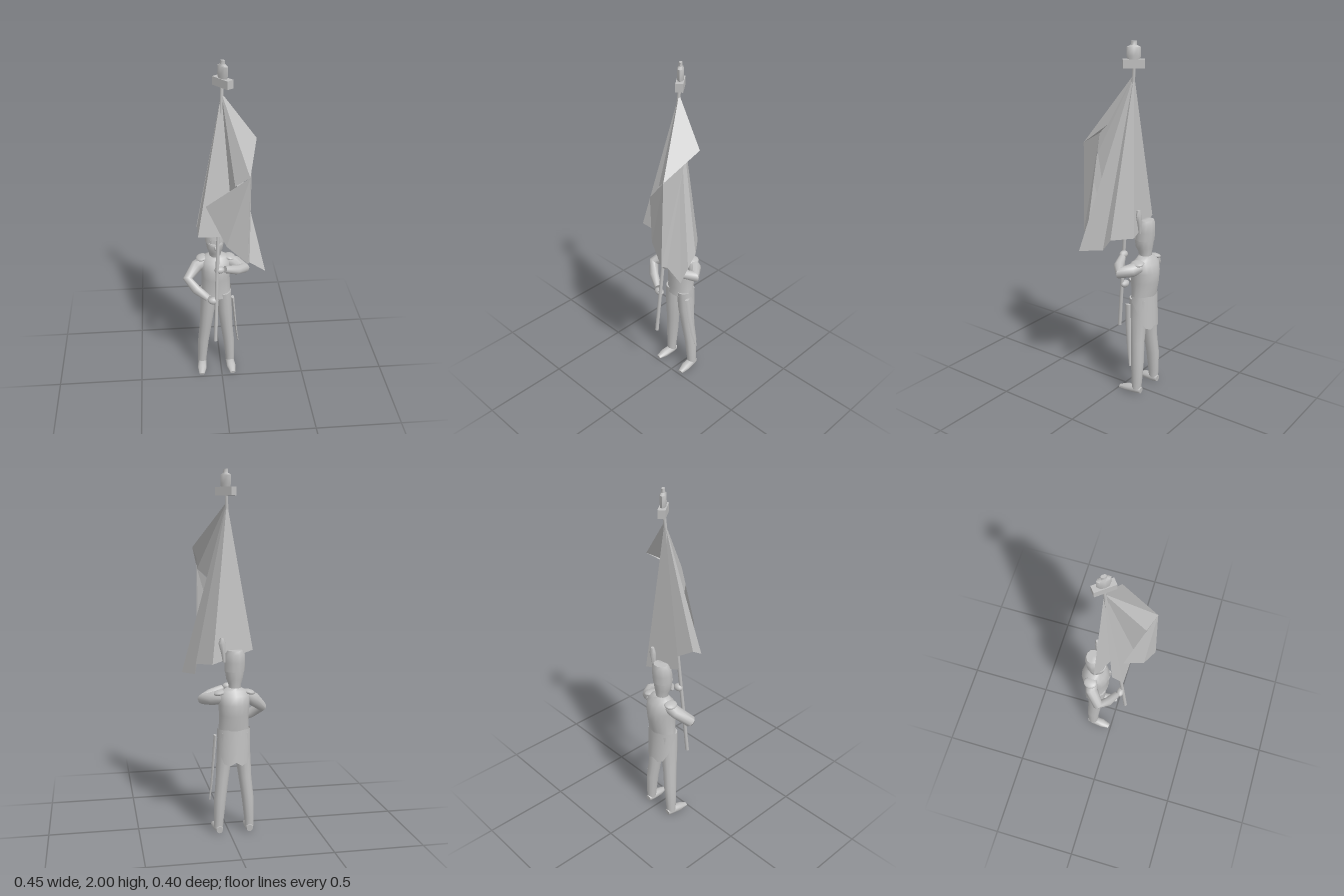
import * as THREE from 'three';
import { toCreasedNormals } from 'three/addons/utils/BufferGeometryUtils.js';

const grey = new THREE.MeshStandardMaterial({ color: 0xbfbfbf, side: THREE.DoubleSide });
grey.name = 'plain grey';

// Closed skin through elliptical rings [x, y, z, ru, rv]; level rings lie flat, others face along the path.
function loft(rings, level = true, sides = 12) {
  const pos = [], idx = [], up = new THREE.Vector3(0, 1, 0);
  const pts = rings.map(r => new THREE.Vector3(r[0], r[1], r[2]));
  rings.forEach((r, i) => {
    let u = new THREE.Vector3(1, 0, 0), v = new THREE.Vector3(0, 0, 1);
    if (!level) {
      const t = pts[Math.min(i + 1, pts.length - 1)].clone().sub(pts[Math.max(i - 1, 0)]).normalize();
      u = t.clone().cross(up).normalize();
      v = u.clone().cross(t);
    }
    for (let k = 0; k < sides; k++) {
      const a = k / sides * Math.PI * 2;
      const p = pts[i].clone().addScaledVector(u, r[3] * Math.cos(a)).addScaledVector(v, r[4] * Math.sin(a));
      pos.push(p.x, p.y, p.z);
    }
  });
  const n = rings.length, first = n * sides, last = first + 1;
  pos.push(...pts[0].toArray(), ...pts[n - 1].toArray());
  for (let k = 0; k < sides; k++) {
    const j = (k + 1) % sides;
    for (let i = 0; i < n - 1; i++) {
      const a = i * sides + k, b = i * sides + j;
      idx.push(a, a + sides, b, b, a + sides, b + sides);
    }
    idx.push(first, k, j, last, (n - 1) * sides + j, (n - 1) * sides + k);
  }
  const g = new THREE.BufferGeometry();
  g.setAttribute('position', new THREE.Float32BufferAttribute(pos, 3));
  g.setIndex(idx);
  return toCreasedNormals(g, 0.9);
}

// Flat-shaded sheet from named corners and faces written as corner lists
function sheet(corners, faces) {
  const pos = [];
  for (const f of faces) {
    const c = f.split(' ');
    for (let i = 1; i < c.length - 1; i++) pos.push(...corners[c[0]], ...corners[c[i]], ...corners[c[i + 1]]);
  }
  const g = new THREE.BufferGeometry();
  g.setAttribute('position', new THREE.Float32BufferAttribute(pos, 3));
  g.computeVertexNormals();
  return g;
}

export function createModel() {
  const model = new THREE.Group();
  const add = (name, geo, parent = model) => {
    const m = new THREE.Mesh(geo, grey);
    m.name = name;
    parent.add(m);
    return m;
  };
  const ball = (name, x, y, z, sx, sy, sz) => {
    const m = add(name, new THREE.SphereGeometry(1, 12, 8));
    m.position.set(x, y, z);
    m.scale.set(sx, sy, sz);
    return m;
  };

  // Legs and feet, mirrored about the body's middle
  const mid = -0.029;
  for (const s of [-1, 1]) {
    const side = s < 0 ? 'right' : 'left';
    const x = f => mid + s * f;
    add(side + 'Leg', loft([
      [x(0.088), 0.03, -0.122, 0.026, 0.028],
      [x(0.086), 0.08, -0.122, 0.028, 0.032],
      [x(0.078), 0.2, -0.12, 0.034, 0.039],
      [x(0.064), 0.32, -0.11, 0.037, 0.042],
      [x(0.052), 0.45, -0.104, 0.044, 0.052],
      [x(0.044), 0.58, -0.105, 0.046, 0.06]]));
    add(side + 'Foot', loft([
      [x(0.086), 0.022, -0.152, 0.018, 0.02],
      [x(0.087), 0.026, -0.12, 0.026, 0.026],
      [x(0.092), 0.02, -0.06, 0.028, 0.02],
      [x(0.097), 0.011, -0.012, 0.016, 0.01]], false));
    const epaulette = ball(side + 'Epaulette', x(0.083), 0.803, -0.12, 0.034, 0.014, 0.04);
    epaulette.rotation.z = -s * 0.2;
  }

  // Coat, with a skirt that slopes down to the back
  add('torso', loft([
    [mid, 0.55, -0.106, 0.091, 0.064],
    [mid, 0.6, -0.11, 0.085, 0.066],
    [mid, 0.68, -0.115, 0.083, 0.078],
    [mid, 0.74, -0.115, 0.088, 0.082],
    [mid, 0.79, -0.118, 0.09, 0.066],
    [mid, 0.815, -0.118, 0.07, 0.045],
    [mid, 0.83, -0.115, 0.036, 0.036]], true, 16));
  const hem = [0.42, 0.4, 0.41, 0.46, 0.53, 0.565];
  const skirt = new THREE.PlaneGeometry(1, 1, hem.length * 2 - 2, 1), sp = skirt.attributes.position;
  for (let i = 0; i < sp.count; i++) {
    const k = Math.round(sp.getX(i) * (hem.length * 2 - 2)), a = k * 0.37, low = sp.getY(i) < 0;
    sp.setXYZ(i, mid - Math.sin(a) * 0.093, low ? hem[Math.abs(k)] : 0.6,
      -0.108 - Math.cos(a) * (low ? 0.079 : 0.067));
  }
  skirt.computeVertexNormals();
  add('coatSkirt', skirt);

  // Head, cap and plume
  add('head', loft([
    [-0.033, 0.81, -0.114, 0.034, 0.034],
    [-0.034, 0.85, -0.11, 0.036, 0.04],
    [-0.034, 0.875, -0.104, 0.046, 0.05],
    [-0.034, 0.91, -0.105, 0.052, 0.053],
    [-0.034, 0.95, -0.107, 0.053, 0.053]]));
  ball('nose', -0.034, 0.9, -0.052, 0.008, 0.014, 0.01);
  add('cap', loft([
    [-0.034, 0.92, -0.108, 0.056, 0.055],
    [-0.034, 0.97, -0.111, 0.058, 0.056],
    [-0.034, 1.015, -0.116, 0.055, 0.051],
    [-0.034, 1.037, -0.122, 0.042, 0.037]], true, 10));
  const visor = add('capVisor', new THREE.CylinderGeometry(0.042, 0.046, 0.008, 12));
  visor.position.set(-0.034, 0.93, -0.088);
  visor.rotation.x = 0.25;
  add('plume', loft([
    [0.025, 0.97, -0.115, 0.008, 0.008],
    [0.03, 1.02, -0.115, 0.012, 0.012],
    [0.037, 1.075, -0.115, 0.02, 0.016],
    [0.038, 1.105, -0.115, 0.01, 0.01]], true, 8));

  // Arms: right hand low on the pole, left hand high
  add('rightArm', loft([
    [-0.09, 0.785, -0.12, 0.036, 0.036],
    [-0.14, 0.758, -0.105, 0.036, 0.038],
    [-0.197, 0.703, -0.052, 0.029, 0.034],
    [-0.15, 0.655, -0.005, 0.027, 0.029],
    [-0.085, 0.615, 0.026, 0.021, 0.021]], false, 10));
  ball('rightHand', -0.055, 0.607, 0.045, 0.032, 0.022, 0.022);
  add('leftArm', loft([
    [0.04, 0.78, -0.12, 0.036, 0.036],
    [0.085, 0.77, -0.105, 0.038, 0.038],
    [0.13, 0.758, -0.055, 0.034, 0.032],
    [0.085, 0.775, -0.015, 0.029, 0.028],
    [0.015, 0.798, 0.013, 0.021, 0.021]], false, 10));
  ball('leftHand', -0.018, 0.805, 0.027, 0.03, 0.022, 0.022);

  // Sword at the left hip
  add('scabbard', loft([
    [0.107, 0.19, -0.108, 0.004, 0.006],
    [0.093, 0.29, -0.092, 0.006, 0.015],
    [0.08, 0.42, -0.077, 0.008, 0.018],
    [0.068, 0.55, -0.066, 0.009, 0.018]], true, 8));

  // Flag pole
  const foot = new THREE.Vector3(-0.046, 0.34, 0.077), tip = new THREE.Vector3(0.003, 1.88, -0.057);
  const dir = tip.clone().sub(foot);
  const pole = add('flagPole', new THREE.CylinderGeometry(0.009, 0.011, dir.length(), 10));
  pole.position.copy(foot).add(tip).multiplyScalar(0.5);
  pole.quaternion.setFromUnitVectors(new THREE.Vector3(0, 1, 0), dir.normalize());

  // Finial: block with a small bird figure on it
  const finial = new THREE.Group();
  finial.name = 'finial';
  finial.position.set(0.007, 0, -0.057);
  finial.rotation.y = 0.665;
  model.add(finial);
  add('finialBlock', new THREE.BoxGeometry(0.04, 0.045, 0.115), finial).position.y = 1.885;
  add('finialBody', loft([
    [0, 1.9, 0, 0.016, 0.03], [0, 1.925, 0, 0.018, 0.038],
    [0, 1.97, 0, 0.017, 0.037], [0, 1.98, 0, 0.01, 0.016],
    [0, 2.0, 0, 0.009, 0.015]], true, 8), finial);

  // Draped flag: folds fan down from the pole top, with one lapped over the front
  add('flag', sheet({
    top: [0, 1.83, -0.055], pole: [-0.03, 1.03, -0.02],
    back1: [-0.14, 1.03, -0.085], back2: [0.09, 0.96, -0.12], back3: [0.168, 0.95, -0.02],
    tail1: [0.225, 0.87, 0.155], tail2: [0.165, 0.88, 0.035], inner: [0.135, 0.94, 0.17],
    left1: [-0.14, 1.1, 0.02], left2: [-0.14, 1.06, 0.085], left3: [0.055, 1.06, 0.09],
    peak: [0.183, 1.59, -0.02], crest: [0.128, 1.46, 0.187], under: [0.15, 1.53, 0.06],
    lap: [0.055, 1.395, 0.148], fold: [-0.095, 1.24, 0.07], front1: [0.01, 1.04, 0.16], front2: [0.123, 0.95, 0.2]
  }, [
    'top back1 back2', 'top back2 back3', 'top back3 tail2', 'top tail2 tail1', 'top tail1 inner',
    'top pole back1', 'top left1 pole', 'top left1 left2', 'top left2 left3', 'top left3 lap',
    'top lap crest peak', 'peak crest under', 'under crest front2 inner',
    'crest fold front1', 'crest front1 front2'
  ]));
  return model;
}
